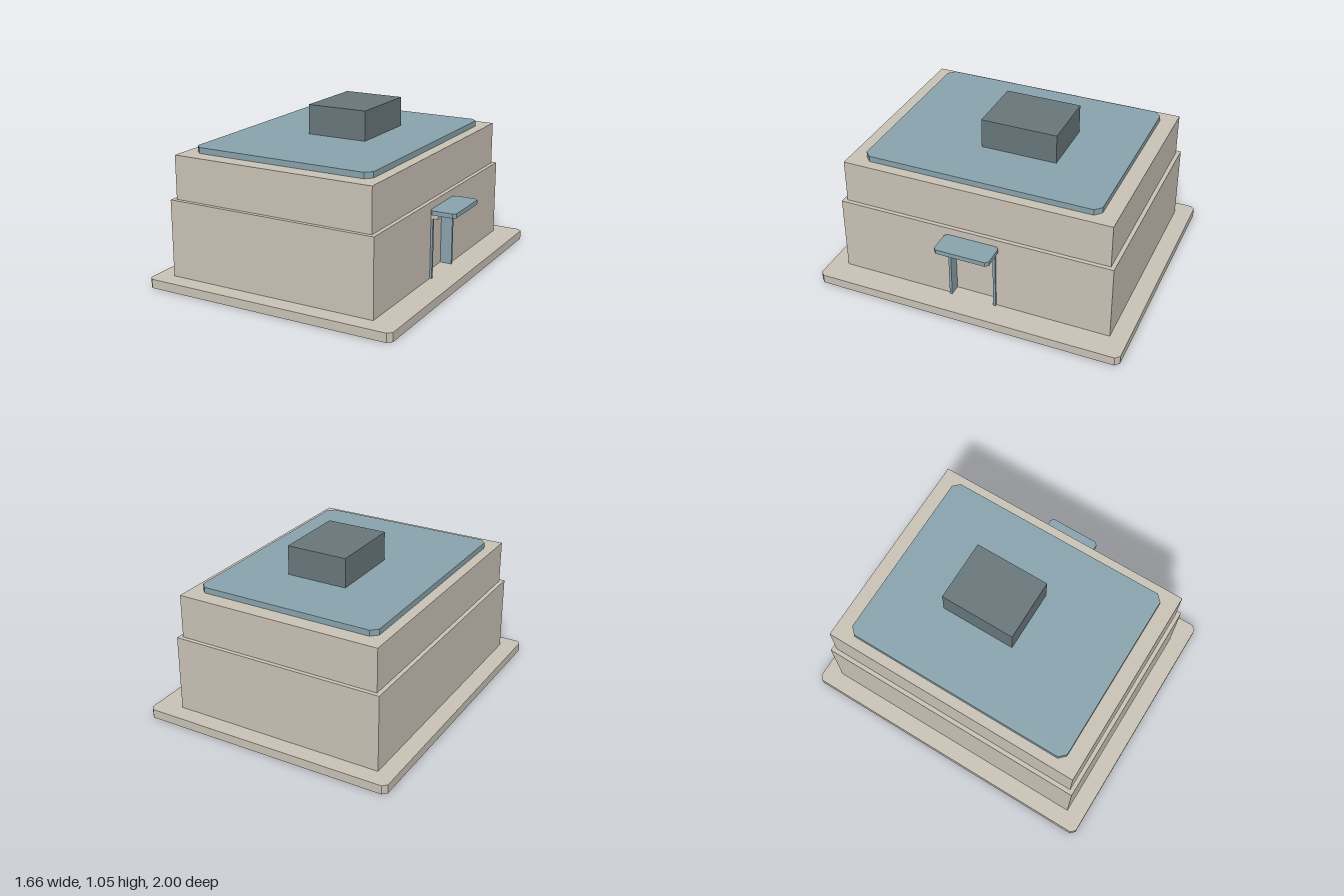
import * as THREE from 'three';

const stone = new THREE.MeshStandardMaterial({ color: 0xc8c0b4 });
stone.name = 'warm stone';
const blue = new THREE.MeshStandardMaterial({ color: 0x88a2ab });
blue.name = 'dusty blue';
const slate = new THREE.MeshStandardMaterial({ color: 0x67767a });
slate.name = 'slate grey';

export function createModel() {
  const model = new THREE.Group();
  model.name = 'building';

  const add = (name, geometry, material) => {
    const mesh = new THREE.Mesh(geometry, material);
    mesh.name = name;
    model.add(mesh);
  };

  // Box given by its limits on each axis
  const block = (name, material, [x0, x1], [y0, y1], [z0, z1]) => {
    const g = new THREE.BoxGeometry(x1 - x0, y1 - y0, z1 - z0);
    g.translate((x0 + x1) / 2, (y0 + y1) / 2, (z0 + z1) / 2);
    add(name, g, material);
  };

  // Plan outline of [x, z] points raised from y0 to y1
  const raise = (name, material, points, [y0, y1]) => {
    const shape = new THREE.Shape(points.map(([x, z]) => new THREE.Vector2(x, -z)));
    const g = new THREE.ExtrudeGeometry(shape, { depth: y1 - y0, bevelEnabled: false });
    g.rotateX(-Math.PI / 2).translate(0, y0, 0);
    add(name, g, material);
  };

  // Slab with chamfered plan corners
  const slab = (name, material, [x0, x1], y, [z0, z1], c) => raise(name, material, [
    [x0 + c, z1], [x1 - c, z1], [x1, z1 - c], [x1, z0 + c],
    [x1 - c, z0], [x0 + c, z0], [x0, z0 + c], [x0, z1 - c],
  ], y);

  slab('basePlinth', stone, [-0.835, 0.83], [0, 0.057], [-1, 1], 0.027);

  // Lower storey, with a shallow doorway recess on the left side
  const recess = 0.6, half = 0.155;
  raise('lowerWalls', stone, [
    [-0.725, 0.887], [0.663, 0.887], [0.663, half], [recess, half],
    [recess, -half], [0.663, -half], [0.663, -0.887], [-0.725, -0.887],
  ], [0.057, 0.47]);
  block('lowerWallsTop', stone, [-0.725, 0.663], [0.47, 0.547], [-0.887, 0.887]);
  block('upperWalls', stone, [-0.698, 0.637], [0.547, 0.824], [-0.861, 0.861]);

  // Roof
  slab('roofSlab', blue, [-0.632, 0.57], [0.824, 0.861], [-0.76, 0.76], 0.04);
  block('roofHousing', slate, [-0.2, 0.2], [0.861, 1.05], [-0.35, 0.14]);

  // Doorway
  for (const s of [-1, 1]) {
    const z = [s * 0.139, s * half].sort((a, b) => a - b);
    block('doorJamb', blue, [recess, 0.676], [0.057, 0.442], z);
  }
  block('doorLintel', stone, [recess, 0.71], [0.442, 0.472], [-half, half]);
  slab('doorCanopy', blue, [0.662, 0.83], [0.472, 0.5], [-0.178, 0.176], 0.018);

  return model;
}
